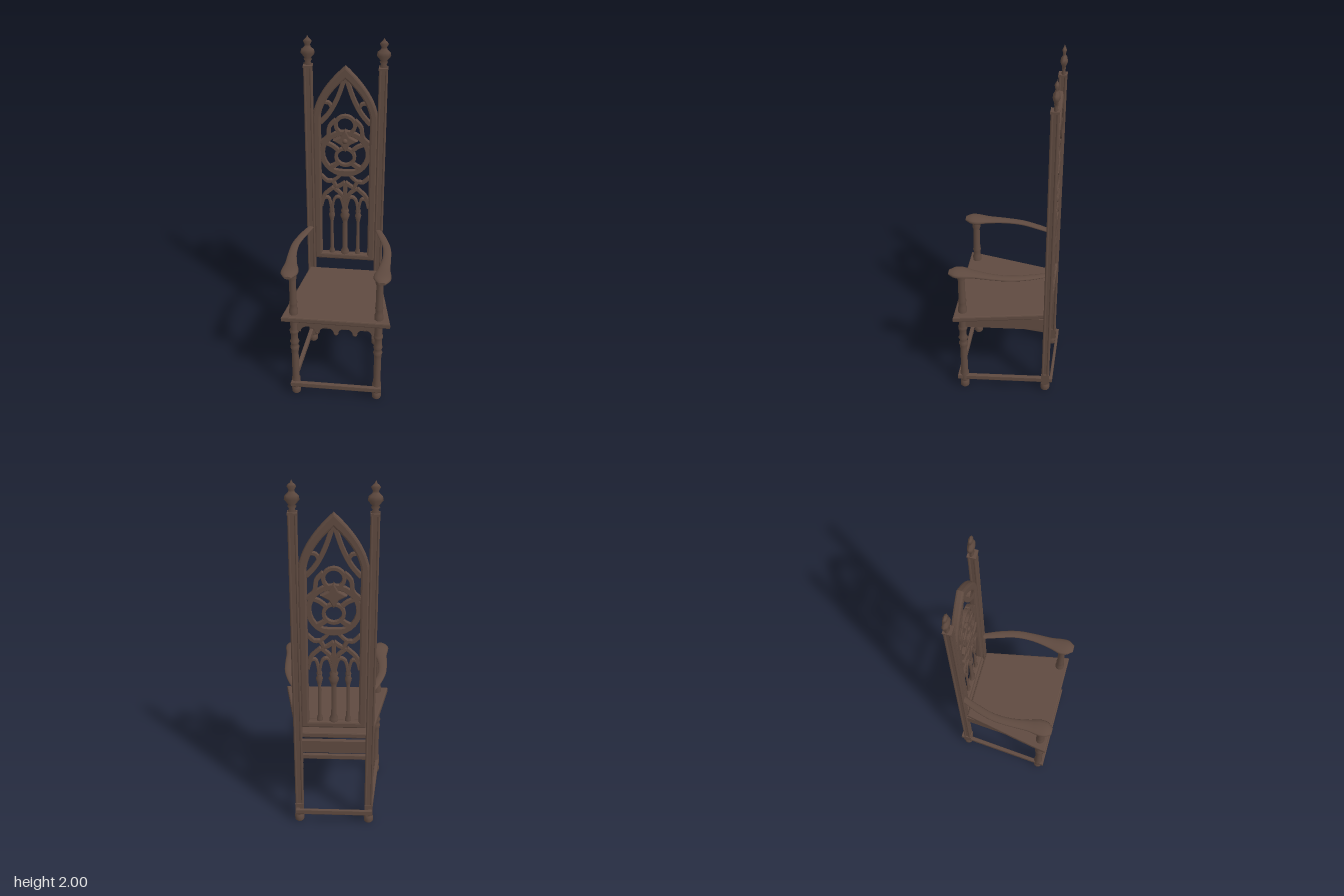
import * as THREE from 'three';

const wood = new THREE.MeshStandardMaterial({ color: 0x5f4a40 });
wood.name = 'dark brown wood';

const V2 = (x, y) => new THREE.Vector2(x, y);

export function createModel() {
  const model = new THREE.Group();
  model.name = 'highBackedGothicChair';

  const add = (name, geometry, parent = model) => {
    const mesh = new THREE.Mesh(geometry, wood);
    mesh.name = name;
    parent.add(mesh);
    return mesh;
  };
  const box = (name, w, h, d, x, y, z, parent) => {
    const m = add(name, new THREE.BoxGeometry(w, h, d), parent);
    m.position.set(x, y, z);
    return m;
  };
  // Extrude an upright shape, centred on z, with bevels kept inside the outline
  const plate = (name, shape, depth, z, bevel = 0.004, parent = model) => {
    const g = new THREE.ExtrudeGeometry(shape, {
      depth: depth - 2 * bevel, bevelEnabled: bevel > 0, bevelThickness: bevel,
      bevelSize: bevel, bevelOffset: -bevel, bevelSegments: 2, curveSegments: 14,
    });
    g.translate(0, 0, z - depth / 2 + bevel);
    return add(name, g, parent);
  };
  // Horizontal slab from a plan outline given as [x, z]
  const slab = (name, outline, hole, y0, y1, bevel) => {
    const shape = new THREE.Shape(outline.map(([x, z]) => V2(x, -z)));
    if (hole) shape.holes.push(new THREE.Path(hole.map(([x, z]) => V2(x, -z))));
    const g = new THREE.ExtrudeGeometry(shape, {
      depth: y1 - y0 - 2 * bevel, bevelThickness: bevel, bevelSize: bevel,
      bevelOffset: -bevel, bevelSegments: 2,
    });
    g.rotateX(-Math.PI / 2);
    g.translate(0, y0 + bevel, 0);
    return add(name, g);
  };
  const turned = (name, profile, x, z, parent, segments = 12) => {
    const m = add(name, new THREE.LatheGeometry(profile.map(([r, y]) => V2(r, y)), segments), parent);
    m.position.set(x, 0, z);
    return m;
  };
  const trapezoid = (xf, zf, xb, zb) => [[-xf, zf], [xf, zf], [xb, zb], [-xb, zb]];

  // Seat and lower stretcher frame
  slab('seat', trapezoid(0.3, 0.266, 0.205, -0.226), null, 0.55, 0.585, 0.008);
  slab('stretcherFrame', trapezoid(0.262, 0.262, 0.214, -0.288),
    trapezoid(0.238, 0.24, 0.192, -0.272), 0.067, 0.1, 0.005);

  // Pieces repeated on both sides, built at +x and mirrored
  const footProfile = [[0, 0], [0.02, 0], [0.026, 0.008], [0.027, 0.035], [0.021, 0.045], [0.021, 0.05], [0.026, 0.056]];
  const legProfile = [...footProfile, [0.026, 0.11], [0.021, 0.12], [0.02, 0.3], [0.022, 0.33], [0.027, 0.345],
    [0.021, 0.355], [0.021, 0.375], [0.027, 0.385], [0.021, 0.4], [0.02, 0.44], [0.026, 0.455], [0.026, 0.47],
    [0.021, 0.48], [0.024, 0.55]];
  const armPostProfile = [[0.025, 0.58], [0.025, 0.61], [0.021, 0.62], [0.02, 0.65], [0.024, 0.66], [0.02, 0.67],
    [0.019, 0.81], [0.024, 0.825], [0.024, 0.86]];
  const finialProfile = [[0.013, 1.835], [0.022, 1.845], [0.014, 1.86], [0.022, 1.872], [0.017, 1.88], [0.037, 1.905],
    [0.033, 1.925], [0.016, 1.94], [0.014, 1.95], [0.023, 1.968], [0.016, 1.978], [0.007, 1.985], [0, 2]];

  // Arm stations: centre x, y, z then half width, half height
  const stations = [
    [0.195, 0.860, -0.232, 0.018, 0.006], [0.226, 0.861, -0.15, 0.022, 0.008], [0.254, 0.864, -0.05, 0.022, 0.009],
    [0.259, 0.866, 0.05, 0.024, 0.010], [0.251, 0.868, 0.15, 0.033, 0.012], [0.247, 0.868, 0.21, 0.046, 0.017],
    [0.248, 0.868, 0.25, 0.044, 0.017], [0.25, 0.867, 0.284, 0.02, 0.009]];
  const centre = new THREE.CatmullRomCurve3(stations.map(s => new THREE.Vector3(s[0], s[1], s[2])));
  const size = new THREE.CatmullRomCurve3(stations.map((s, i) => new THREE.Vector3(s[3], s[4], i * 0.05)));
  const armGeometry = new THREE.CylinderGeometry(1, 1, 1, 12, 28);
  const p = armGeometry.attributes.position;
  for (let i = 0; i < p.count; i++) {
    const t = p.getY(i) + 0.5, c = centre.getPoint(t), s = size.getPoint(t);
    p.setXYZ(i, c.x + p.getX(i) * s.x, c.y - p.getZ(i) * s.y, c.z);
  }
  armGeometry.computeVertexNormals();

  for (const side of [1, -1]) {
    const half = new THREE.Group();
    half.name = side > 0 ? 'leftSide' : 'rightSide';
    half.scale.x = side;
    model.add(half);
    turned('frontLeg', legProfile, 0.235, 0.225, half);
    turned('armPost', armPostProfile, 0.235, 0.222, half);
    add('arm', armGeometry, half);

    // Back post with corner beads
    turned('backFoot', footProfile, 0.197, -0.247, half);
    box('backPostBlock', 0.046, 0.075, 0.046, 0.196, 0.09, -0.247, half);
    box('backPost', 0.034, 1.75, 0.034, 0.195, 0.965, -0.247, half);
    for (const dx of [-1, 1]) for (const dz of [-1, 1]) {
      const bead = add('postBead', new THREE.CylinderGeometry(0.007, 0.007, 1.72, 8), half);
      bead.position.set(0.195 + dx * 0.016, 0.98, -0.247 + dz * 0.014);
    }
    box('postCap', 0.048, 0.012, 0.044, 0.195, 1.838, -0.247, half);
    turned('finial', finialProfile, 0.195, -0.25, half, 8).scale.z = 0.5;

    // Side apron running in towards the back
    const apron = box('sideApron', 0.022, 0.073, 0.46, 0.217, 0.514, -0.01, half);
    apron.rotation.y = Math.atan2(0.04, 0.475);
  }
  box('backApron', 0.36, 0.075, 0.024, 0, 0.514, -0.245);

  // Front apron with four scallops and small pendants
  const scallop = new THREE.Shape();
  scallop.moveTo(-0.215, 0.55);
  scallop.lineTo(-0.215, 0.47);
  for (let i = 0; i < 4; i++) {
    const x = -0.21 + i * 0.105;
    scallop.lineTo(x + 0.012, 0.465);
    scallop.absarc(x + 0.0525, 0.465, 0.0405, Math.PI, 0, true);
    scallop.lineTo(x + 0.105, 0.465);
  }
  scallop.lineTo(0.215, 0.55);
  plate('frontApron', scallop, 0.024, 0.225, 0.003);
  for (const x of [-0.105, 0, 0.105]) {
    const drop = add('apronPendant', new THREE.SphereGeometry(0.014, 10, 8));
    drop.position.set(x, 0.465, 0.225);
  }

  // Pointed back frame
  const arch = (path, w, y0, spring, cx, cy, top) => {
    path.moveTo(-w, y0);
    path.lineTo(w, y0);
    path.lineTo(w, spring);
    path.quadraticCurveTo(cx, cy, 0, top);
    path.quadraticCurveTo(-cx, cy, -w, spring);
    path.closePath();
    return path;
  };
  const frame = arch(new THREE.Shape(), 0.175, 0.645, 1.56, 0.155, 1.70, 1.845);
  frame.holes.push(arch(new THREE.Path(), 0.132, 0.684, 1.56, 0.115, 1.67, 1.775));
  plate('backFrame', frame, 0.038, -0.249, 0.01);

  // Tracery: flat ribs that follow a curve, and rings
  const Z = -0.249, D = 0.024;
  const rib = (name, pts, width) => {
    const curve = new THREE.SplineCurve(pts.map(([x, y]) => V2(x, y)));
    const a = [], b = [];
    for (let i = 0; i <= 12; i++) {
      const c = curve.getPoint(i / 12), t = curve.getTangent(i / 12);
      a.push(V2(c.x - t.y * width / 2, c.y + t.x * width / 2));
      b.unshift(V2(c.x + t.y * width / 2, c.y - t.x * width / 2));
    }
    plate(name, new THREE.Shape([...a, ...b]), D, Z, 0.003);
  };
  const ring = (name, y, outer, inner) => {
    const s = new THREE.Shape().absarc(0, y, outer, 0, Math.PI * 2);
    s.holes.push(new THREE.Path().absarc(0, y, inner, 0, Math.PI * 2));
    plate(name, s, D, Z, 0.003);
  };
  ring('roseRing', 1.34, 0.14, 0.112);
  ring('upperFoil', 1.51, 0.062, 0.042);
  ring('lowerFoil', 1.32, 0.06, 0.041);
  for (const s of [1, -1]) {
    const r = (name, pts, w) => rib(name, pts.map(([x, y]) => [x * s, y]), w);
    r('upperLancetRib', [[0.004, 1.78], [0.04, 1.67], [0.085, 1.58], [0.135, 1.52]], 0.024);
    r('upperCusp', [[0.135, 1.64], [0.088, 1.635], [0.07, 1.6]], 0.018);
    r('foilRib', [[0.05, 1.54], [0.085, 1.5], [0.095, 1.44], [0.135, 1.4]], 0.022);
    r('roseCusp', [[0.105, 1.4], [0.07, 1.385], [0.04, 1.36]], 0.022);
    r('roseLowerCusp', [[0.035, 1.285], [0.06, 1.265], [0.09, 1.25]], 0.026);
    r('wingRib', [[0.135, 1.2], [0.1, 1.165], [0.07, 1.165], [0.045, 1.13], [0, 1.16]], 0.02);
    r('wingTip', [[0.07, 1.165], [0.045, 1.185], [0.02, 1.215]], 0.016);
    r('mainArchOuter', [[0.13, 1.03], [0.115, 1.075], [0.065, 1.125]], 0.02);
    r('mainArchInner', [[0, 1.03], [0.015, 1.075], [0.065, 1.125]], 0.02);
    r('smallArchOuter', [[0.132, 1.0], [0.118, 1.05], [0.09, 1.05], [0.075, 0.97]], 0.015);
    r('smallArchInner', [[0.075, 0.97], [0.06, 1.05], [0.025, 1.06], [0.004, 0.98]], 0.015);
  }
  const crescent = new THREE.Shape().absarc(0, 1.335, 0.135, -Math.PI * 0.8, -Math.PI * 0.2, false);
  crescent.quadraticCurveTo(0, 1.22, -0.109, 1.256);
  plate('roseCrescent', crescent, D, Z, 0.003);
  rib('centreMullion', [[0, 0.97], [0, 1.08], [0, 1.16]], 0.022);

  // Colonettes below the arches
  for (const x of [-0.075, 0, 0.075]) {
    const k = x === 0 ? 1.5 : 1;
    turned('colonette', [[0.016 * k, 0.68], [0.016 * k, 0.7], [0.01 * k, 0.72], [0.009 * k, 0.9], [0.013 * k, 0.92],
      [0.019 * k, 0.945], [0.013 * k, 0.96], [0.016 * k, 0.975], [0.008 * k, 1.0]], x, Z, model, 10).scale.z = 0.7;
  }

  // Four-pointed boss at the heart of the rose
  const star = new THREE.Shape(Array.from({ length: 8 }, (_, i) => {
    const r = i % 2 ? 0.036 : 0.068, a = i * Math.PI / 4;
    return V2(r * Math.cos(a), 1.42 + r * Math.sin(a));
  }));
  plate('starBoss', star, 0.034, Z, 0.008);
  const knob = add('starBossKnob', new THREE.SphereGeometry(0.016, 12, 8));
  knob.position.set(0, 1.42, -0.237);

  return model;
}
